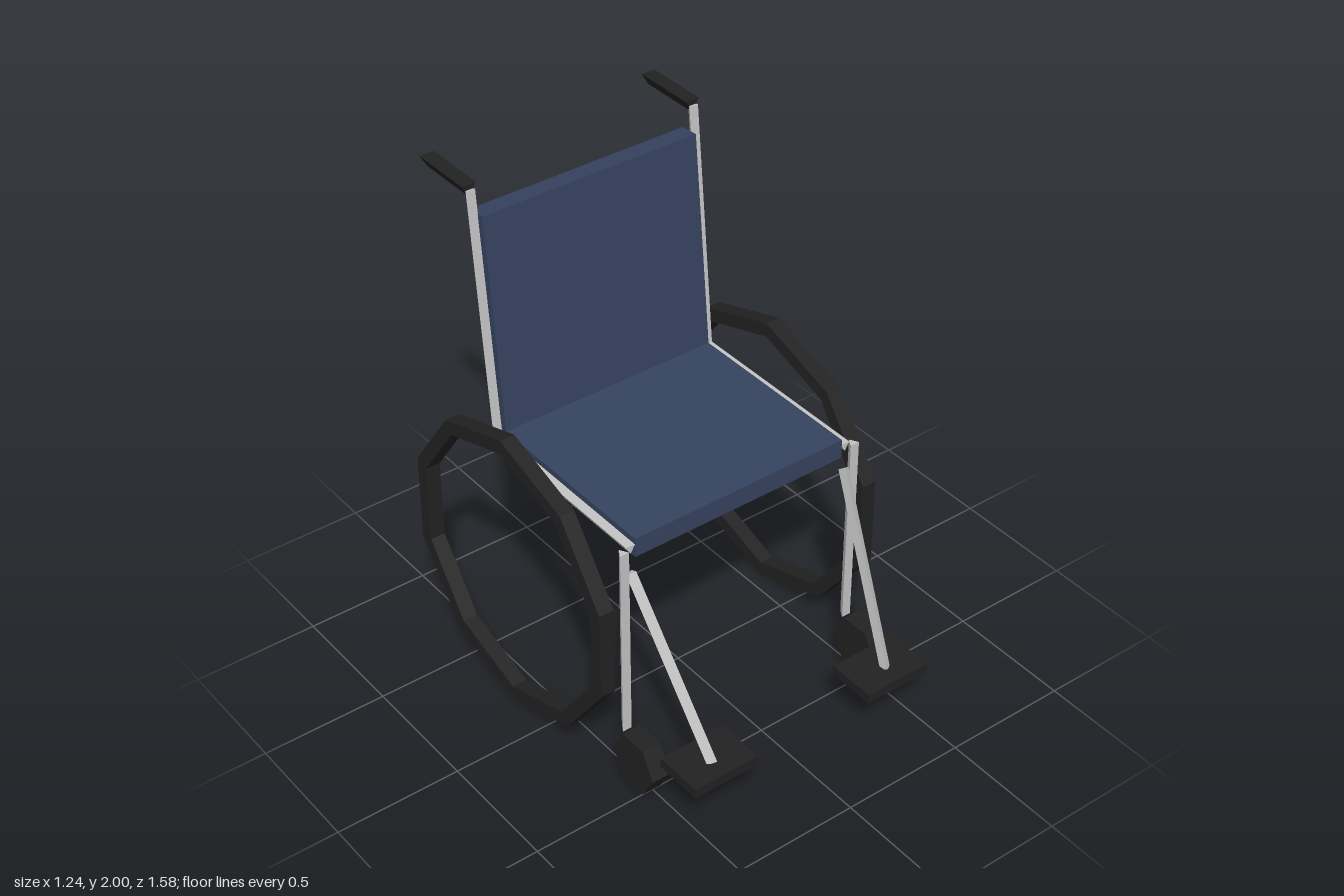
import * as THREE from 'three';

export function createModel() {
  const model = new THREE.Group();
  const mat = (name, color) => {
    const m = new THREE.MeshStandardMaterial({ color, flatShading: true });
    m.name = name;
    return m;
  };
  const fabric = mat('navy fabric', 0x36435f);
  const metal = mat('light metal', 0xc4c4c4);
  const rubber = mat('black rubber', 0x222222);

  const add = (name, geometry, material, x, y, z) => {
    const mesh = new THREE.Mesh(geometry, material);
    mesh.name = name;
    mesh.position.set(x, y, z);
    model.add(mesh);
    return mesh;
  };

  // Three-sided bar between two points
  const up = new THREE.Vector3(0, 1, 0);
  const bar = (name, from, to, radius, material) => {
    const a = new THREE.Vector3(...from), b = new THREE.Vector3(...to);
    const dir = b.clone().sub(a);
    const geo = new THREE.CylinderGeometry(radius, radius, dir.length(), 3, 1, false, Math.PI);
    const mid = a.add(b).multiplyScalar(0.5);
    const mesh = add(name, geo, material, mid.x, mid.y, mid.z);
    mesh.quaternion.setFromUnitVectors(up, dir.normalize());
  };

  // Ten-sided hoop with a square section
  const ring = (Type, r) => {
    const pts = [];
    for (let i = 0; i < 10; i++) {
      const t = Math.PI / 2 + (i * Math.PI) / 5;
      pts.push(new THREE.Vector2(r * Math.cos(t), r * Math.sin(t)));
    }
    return new Type(pts);
  };
  const hoop = ring(THREE.Shape, 0.595);
  hoop.holes.push(ring(THREE.Path, 0.537));
  const wheelGeo = new THREE.ExtrudeGeometry(hoop, { depth: 0.06, bevelEnabled: false });
  wheelGeo.translate(0, 0, -0.03).rotateY(Math.PI / 2);

  // Six-sided caster with points facing forward and back
  const casterGeo = new THREE.CylinderGeometry(0.118, 0.118, 0.078, 6).rotateZ(Math.PI / 2);

  // Seat and leaning backrest
  add('seat', new THREE.BoxGeometry(0.914, 0.078, 0.795), fabric, 0, 0.996, -0.04);
  const back = add('backrest', new THREE.BoxGeometry(0.914, 0.865, 0.078), fabric, 0, 1.455, -0.488);
  back.rotation.x = -0.097;

  for (const [side, s] of [['left', 1], ['right', -1]]) {
    // Frame
    bar(`${side} seat rail`, [s * 0.475, 1, 0.355], [s * 0.475, 1, -0.435], 0.022, metal);
    bar(`${side} back post`, [s * 0.475, 1, -0.444], [s * 0.475, 1.98, -0.538], 0.022, metal);
    bar(`${side} front leg`, [s * 0.51, 0.2, 0.357], [s * 0.51, 1, 0.357], 0.022, metal);
    bar(`${side} foot strut`, [s * 0.475, 0.9, 0.357], [s * 0.4, 0.24, 0.715], 0.022, metal);
    // Grips, footplates and wheels
    bar(`${side} push handle`, [s * 0.475, 1.984, -0.535], [s * 0.475, 1.984, -0.795], 0.033, rubber);
    add(`${side} footplate`, new THREE.BoxGeometry(0.276, 0.04, 0.198), rubber, s * 0.394, 0.222, 0.69);
    add(`${side} rear wheel`, wheelGeo, rubber, s * 0.59, 0.597, -0.198);
    add(`${side} caster`, casterGeo, rubber, s * 0.514, 0.123, 0.457);
  }
  return model;
}
